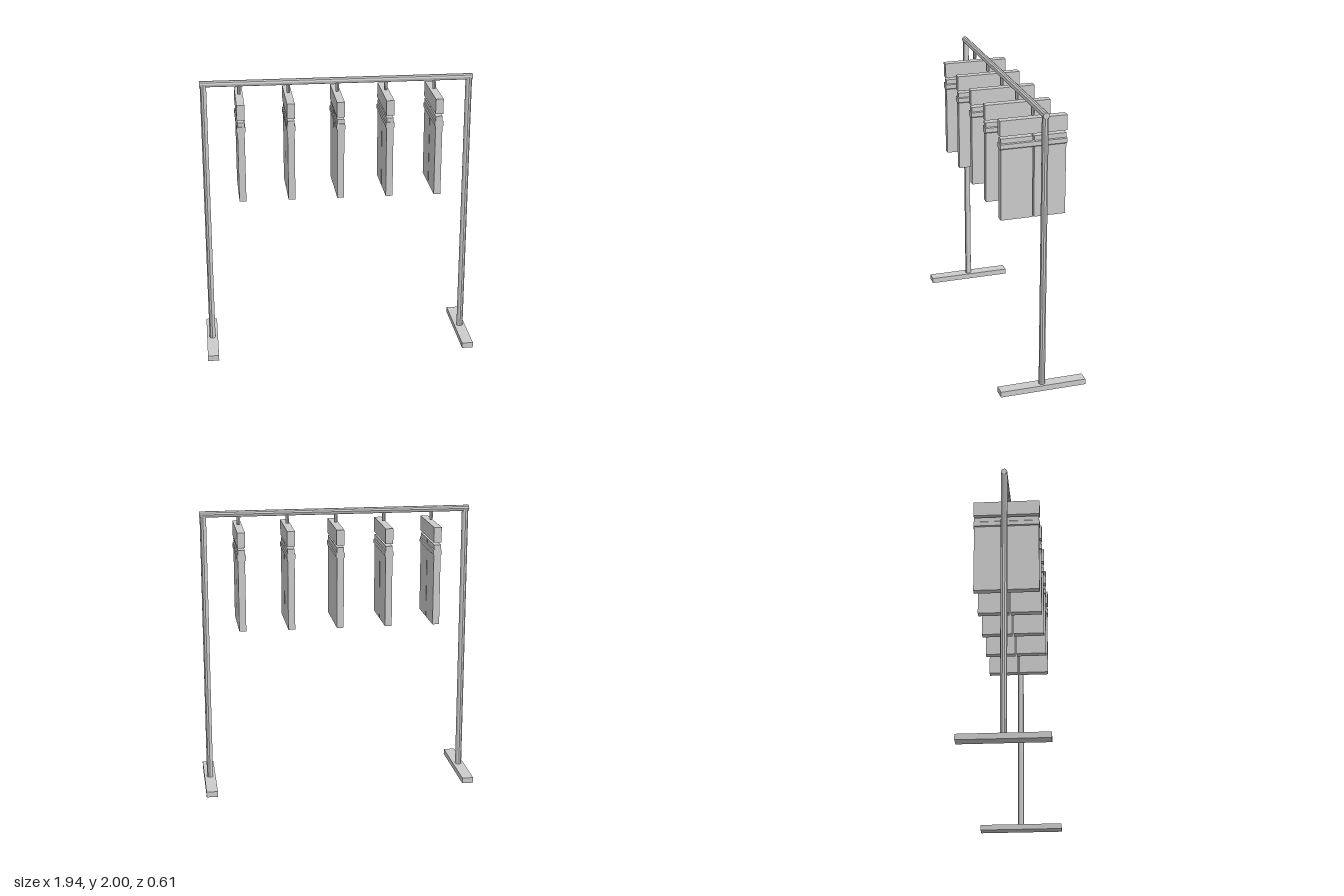
import * as THREE from 'three';

const material = new THREE.MeshStandardMaterial({ color: 0xcccccc, flatShading: true });

function add(parent, name, geometry, x, y, z) {
  const mesh = new THREE.Mesh(geometry, material);
  mesh.name = name;
  mesh.position.set(x, y, z);
  parent.add(mesh);
  return mesh;
}

// Box placed by its bottom and top heights
function slab(parent, name, x, y0, y1, z, width, depth) {
  return add(parent, name, new THREE.BoxGeometry(width, y1 - y0, depth), x, (y0 + y1) / 2, z);
}

// Belt with chamfered long edges, running along z
function beltGeometry(width, height, depth, chamfer) {
  const w = width / 2, h = height / 2, c = chamfer;
  const section = new THREE.Shape([
    [-w + c, -h], [w - c, -h], [w, -h + c], [w, h - c],
    [w - c, h], [-w + c, h], [-w, h - c], [-w, -h + c],
  ].map(([x, y]) => new THREE.Vector2(x, y)));
  return new THREE.ExtrudeGeometry(section, { depth, bevelEnabled: false }).translate(0, 0, -depth / 2);
}

// One hanging garment: hook, hanger, split panel and belt
function createGarment(x) {
  const garment = new THREE.Group();
  garment.name = 'garment';
  garment.position.x = x;
  add(garment, 'hook', new THREE.CylinderGeometry(0.014, 0.012, 0.07, 8), 0, 1.935, 0);
  slab(garment, 'hanger', 0, 1.78, 1.887, 0, 0.054, 0.462);
  for (const side of [-1, 1]) {
    slab(garment, 'panel', 0, 1.19, 1.763, side * 0.1155, 0.048, 0.221);
  }
  add(garment, 'belt', beltGeometry(0.06, 0.046, 0.462, 0.008), 0, 1.71, 0);
  return garment;
}

export function createModel() {
  const model = new THREE.Group();
  model.name = 'clothesRack';

  // Uprights on long feet
  for (const side of [-1, 1]) {
    slab(model, 'foot', side * 0.93, 0, 0.04, 0, 0.08, 0.61);
    add(model, 'post', new THREE.CylinderGeometry(0.023, 0.023, 1.94, 10), side * 0.93, 1.01, 0);
  }

  // Top rail
  const rail = add(model, 'rail', new THREE.CylinderGeometry(0.022, 0.022, 1.91, 10), 0, 1.978, 0);
  rail.rotation.z = Math.PI / 2;

  for (let i = -2; i <= 2; i++) model.add(createGarment(i * 0.342));
  return model;
}
